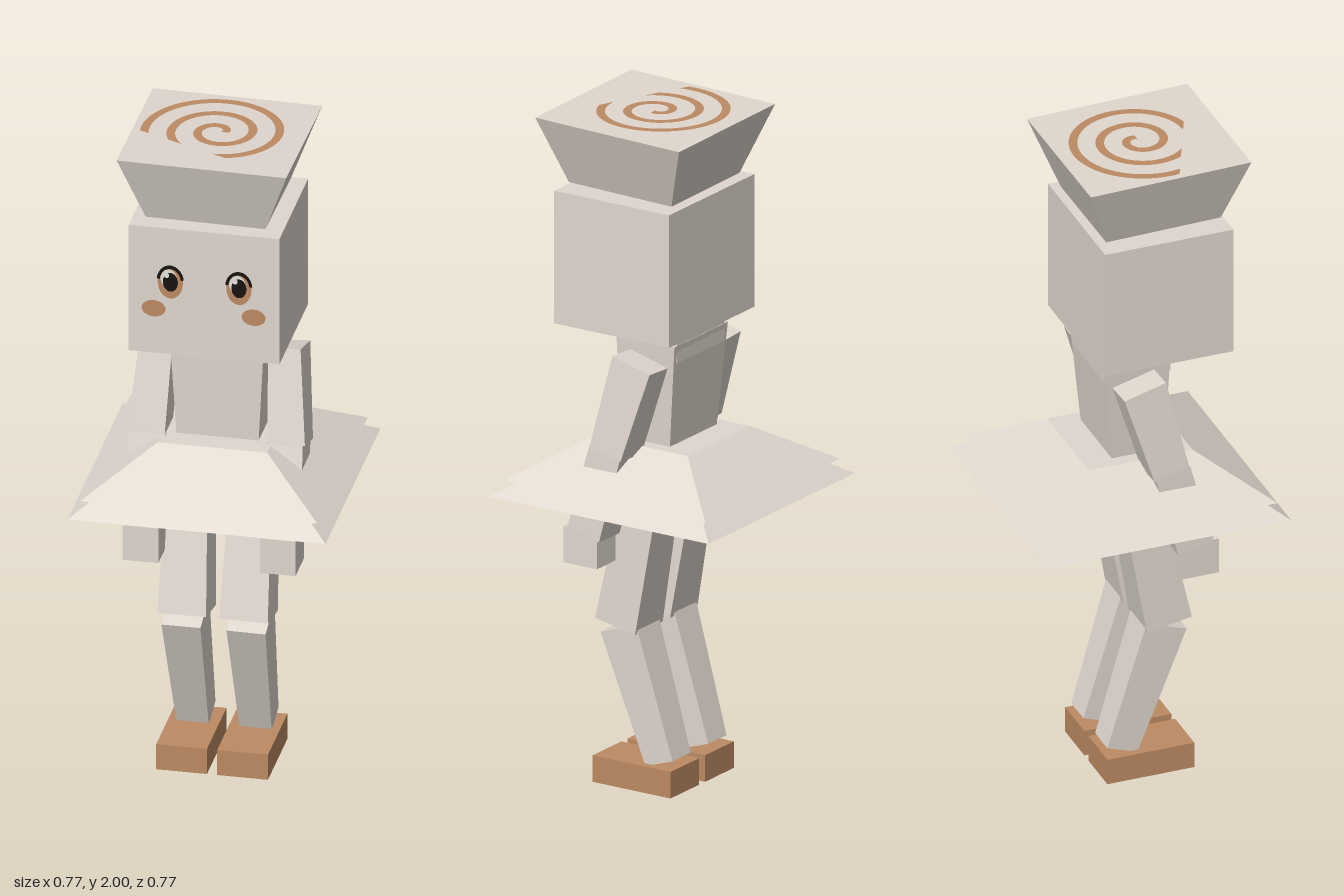
import * as THREE from 'three';

const mat = (name, color, side = THREE.FrontSide) => {
  const m = new THREE.MeshStandardMaterial({ color, side });
  m.name = name;
  return m;
};

export function createModel() {
  const cream = mat('cream', 0xe0d7ce);
  const brown = mat('brown', 0xbc8a62);
  const paint = mat('brown paint', 0xbc8a62, THREE.DoubleSide);
  const black = mat('black', 0x17120f);
  const white = mat('white', 0xf4f0ea);

  const model = new THREE.Group();
  model.name = 'blockFigure';
  const body = new THREE.Group();
  body.name = 'body';
  body.rotation.y = -0.02;
  model.add(body);

  const add = (name, geometry, material, x = 0, y = 0, z = 0) => {
    const mesh = new THREE.Mesh(geometry, material);
    mesh.name = name;
    mesh.position.set(x, y, z);
    body.add(mesh);
    return mesh;
  };

  const box = (name, material, w, h, d, x, y, z) =>
    add(name, new THREE.BoxGeometry(w, h, d), material, x, y, z);

  // Tapered block running from a bottom centre to a top centre; sizes are [width, depth]
  const block = (name, bottom, bottomSize, top, topSize) => {
    const a = new THREE.Vector3(...bottom);
    const axis = new THREE.Vector3(...top).sub(a);
    const geometry = new THREE.BoxGeometry(1, axis.length(), 1);
    const p = geometry.attributes.position;
    for (let i = 0; i < p.count; i++) {
      const [w, d] = p.getY(i) < 0 ? bottomSize : topSize;
      p.setX(i, p.getX(i) * w);
      p.setZ(i, p.getZ(i) * d);
    }
    const flat = geometry.toNonIndexed();
    flat.computeVertexNormals();
    const mid = a.addScaledVector(axis, 0.5);
    const mesh = add(name, flat, cream, mid.x, mid.y, mid.z);
    mesh.quaternion.setFromUnitVectors(new THREE.Vector3(0, 1, 0), axis.normalize());
    return mesh;
  };

  // Head, neck and flared hat
  box('head', cream, 0.44, 0.4, 0.394, -0.003, 1.58, 0.0625);
  box('neck', cream, 0.245, 0.085, 0.205, -0.001, 1.3425, 0.004);
  block('hat', [-0.003, 1.795, 0.063], [0.35, 0.352], [-0.001, 1.997, 0.0585], [0.495, 0.493]);

  // Torso and two-tier skirt
  block('torso', [0, 0.95, 0.01], [0.23, 0.15], [0, 1.355, 0], [0.275, 0.2]);
  block('skirtUpper', [0, 0.927, 0], [0.692, 0.692], [0, 1.043, 0], [0.32, 0.32]);
  block('skirtLower', [0, 0.88, 0], [0.753, 0.753], [0, 0.927, 0], [0.61, 0.61]);

  // Arms and legs, mirrored
  for (const [side, s] of [['left', 1], ['right', -1]]) {
    block(side + 'UpperArm', [s * 0.205, 1.033, 0.057], [0.11, 0.11], [s * 0.187, 1.306, -0.015], [0.095, 0.132]);
    block(side + 'Forearm', [s * 0.205, 0.78, 0.13], [0.114, 0.112], [s * 0.2, 1.035, 0.062], [0.108, 0.108]);
    box(side + 'Hand', cream, 0.104, 0.11, 0.115, s * 0.2, 0.735, 0.147);
    block(side + 'Thigh', [s * 0.09, 0.483, 0.088], [0.142, 0.14], [s * 0.094, 0.93, 0], [0.118, 0.118]);
    block(side + 'Shin', [s * 0.092, 0.088, -0.048], [0.094, 0.098], [s * 0.095, 0.475, 0.083], [0.114, 0.13]);
    box(side + 'Foot', brown, 0.148, 0.08, 0.267, s * 0.089, 0.04, 0.03);
  }

  // Painted face, built from layered flat ovals
  const faceZ = 0.0625 + 0.197;
  const oval = (name, material, x, y, rx, ry, layer) =>
    add(name, new THREE.CircleGeometry(1, 24).scale(rx, ry, 1), material, x, y, faceZ + layer * 0.0015);
  for (const [side, s] of [['left', 1], ['right', -1]]) {
    const x = s * 0.1 - 0.001;
    oval(side + 'EyeRim', brown, x, 1.61, 0.037, 0.052, 1);
    const lash = new THREE.RingGeometry(0.78, 1, 20, 1, 0.15, Math.PI - 0.3).scale(0.04, 0.052, 1);
    add(side + 'EyeLash', lash, black, x, 1.612, faceZ + 0.003);
    oval(side + 'EyeWhite', white, x - 0.004, 1.622, 0.024, 0.03, 3);
    oval(side + 'Pupil', black, x + 0.001, 1.612, 0.022, 0.03, 4);
    oval(side + 'EyeGlint', white, x - 0.01, 1.634, 0.008, 0.009, 5);
    oval(side + 'Cheek', brown, s * 0.146 - 0.004, 1.522, 0.035, 0.026, 1);
  }

  // Spiral ribbon painted on the hat top, narrowing at its outer tail
  const points = [], index = [];
  const steps = 180, turns = 2.825;
  for (let i = 0; i <= steps; i++) {
    const t = (i / steps) * turns;
    const angle = t * Math.PI * 2;
    const r = 0.018 + 0.077 * t;
    const half = 0.0125 * Math.min(1, (turns - t) / 0.12 + 0.1);
    for (const q of [r - half, r + half]) points.push(q * Math.cos(angle), 0, -q * Math.sin(angle));
    if (i < steps) {
      const k = i * 2;
      index.push(k, k + 1, k + 2, k + 1, k + 3, k + 2);
    }
  }
  const spiral = new THREE.BufferGeometry();
  spiral.setAttribute('position', new THREE.Float32BufferAttribute(points, 3));
  spiral.setIndex(index);
  spiral.computeVertexNormals();
  add('hatSpiral', spiral, paint, -0.004, 2.0, 0.055);

  return model;
}
